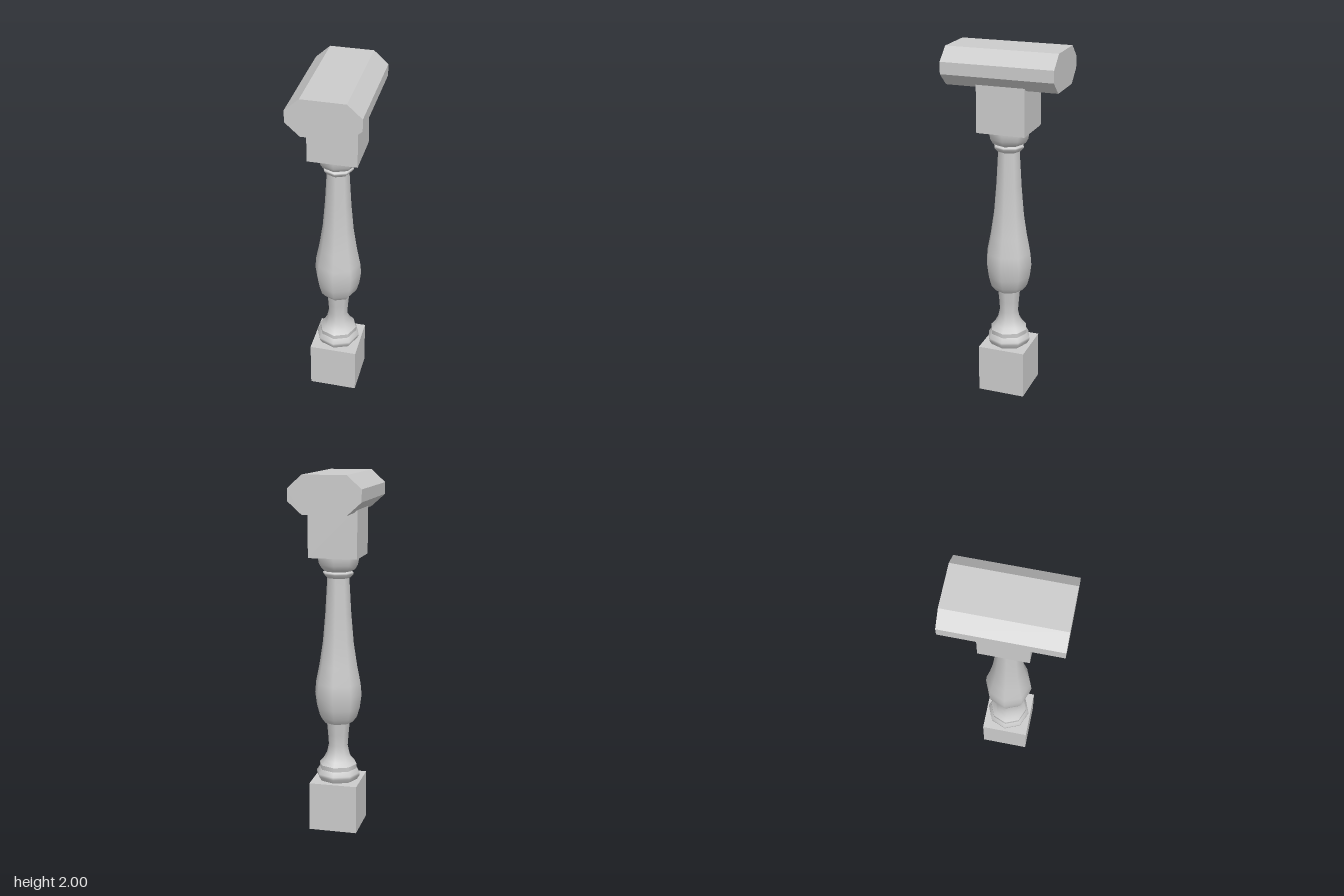
import * as THREE from 'three';

const material = new THREE.MeshStandardMaterial({ color: 0xcccccc });

function add(group, name, geometry, y = 0) {
  const mesh = new THREE.Mesh(geometry, material);
  mesh.name = name;
  mesh.position.y = y;
  group.add(mesh);
}

// Eight-sided turned piece; profile points are [radius, height], bottom to top
function turned(group, name, profile) {
  add(group, name, new THREE.LatheGeometry(profile.map(([r, y]) => new THREE.Vector2(r, y)), 8));
}

export function createModel() {
  const group = new THREE.Group();
  group.name = 'baluster';

  // Square blocks at foot and head
  add(group, 'baseBlock', new THREE.BoxGeometry(0.27, 0.275, 0.27), 0.1375);
  add(group, 'topBlock', new THREE.BoxGeometry(0.27, 0.265, 0.27), 1.6825);

  // Base moulding: rounded ring, then a flat band
  turned(group, 'baseRing', [[0.108, 0.272], [0.125, 0.3], [0.125, 0.315], [0.108, 0.34]]);
  turned(group, 'baseBand', [[0.108, 0.34], [0.108, 0.365]]);

  // Flared neck rising from the base
  turned(group, 'neck', [[0.108, 0.365], [0.085, 0.39], [0.066, 0.425], [0.055, 0.475], [0.06, 0.54], [0.067, 0.612]]);

  // Bulb tapering into the long shaft, with its flat underside
  turned(group, 'bulbUnderside', [[0.05, 0.612], [0.083, 0.612]]);
  turned(group, 'shaft', [[0.083, 0.612], [0.108, 0.645], [0.124, 0.7], [0.134, 0.775], [0.128, 0.84],
    [0.108, 0.94], [0.088, 1.07], [0.074, 1.23], [0.062, 1.435]]);

  // Collar and bowl beneath the top block
  turned(group, 'collar', [[0.055, 1.432], [0.068, 1.432], [0.085, 1.452], [0.085, 1.462], [0.07, 1.468]]);
  turned(group, 'bowl', [[0.07, 1.466], [0.095, 1.48], [0.11, 1.505], [0.116, 1.535], [0.116, 1.552]]);

  // Handrail section: chamfered cross-section running front to back
  const corners = [[0.118, 1.795], [0.196, 1.865], [0.196, 1.93], [0.118, 2]];
  const outline = [...corners, ...corners.map(([x, y]) => [-x, y]).reverse()];
  const rail = new THREE.ExtrudeGeometry(
    new THREE.Shape(outline.map(([x, y]) => new THREE.Vector2(x, y))),
    { depth: 0.62, bevelEnabled: false });
  rail.translate(0, 0, -0.31);
  add(group, 'handrail', rail);

  return group;
}
